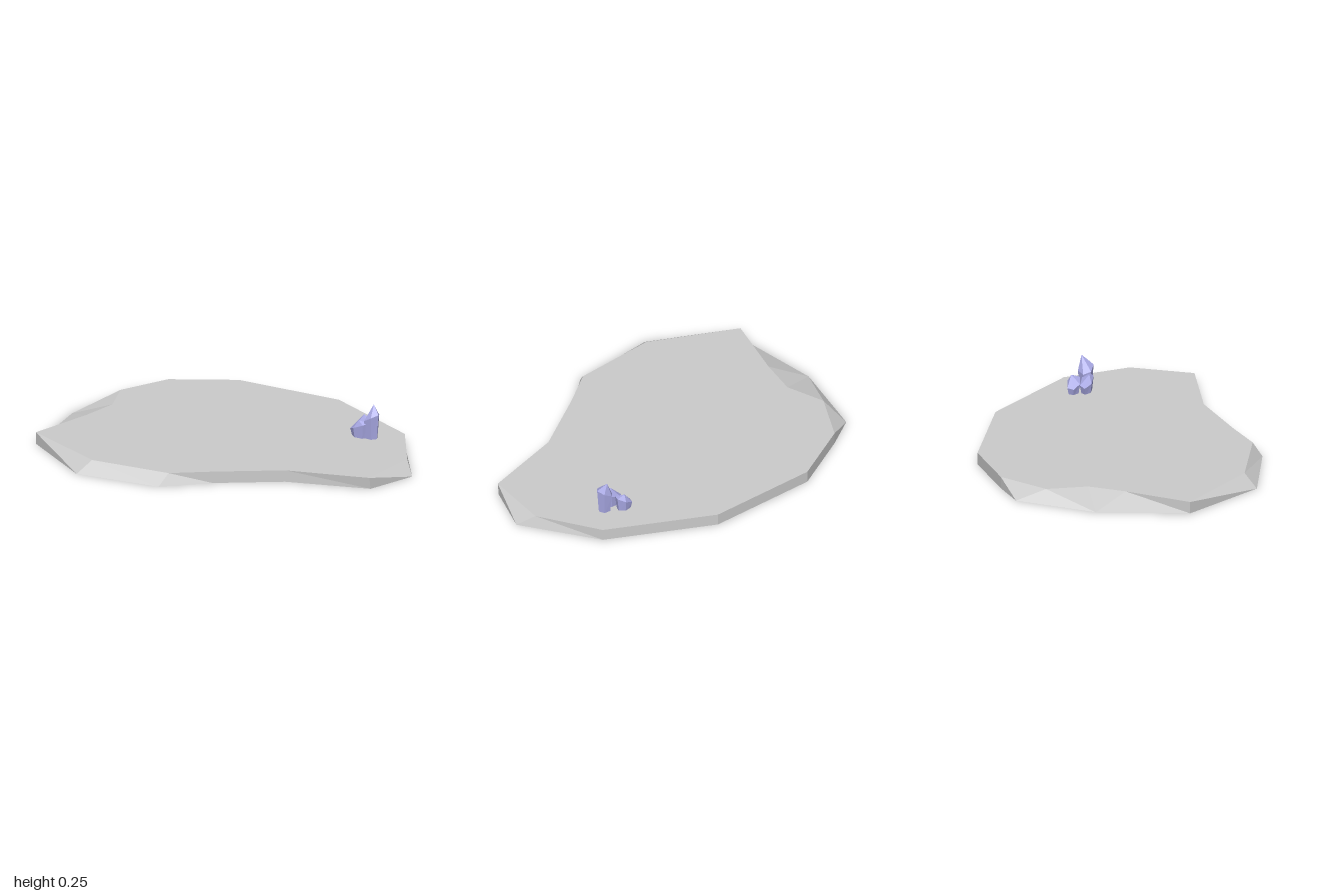
import * as THREE from 'three';

const TOP = 0.064;

// Ground slab outline: [bottom x, bottom z, top x, top z], counter-clockwise from above
const rim = [
  [0.49, -0.81, 0.49, -0.81],
  [0.36, -0.96, 0.21, -0.91],
  [-0.09, -1.0, 0.01, -0.81],
  [-0.092, -1.0, -0.2, -0.82],
  [-0.57, -0.87, -0.57, -0.87],
  [-0.8, -0.42, -0.72, -0.38],
  [-0.69, 0.04, -0.63, 0.06],
  [-0.47, 0.23, -0.47, 0.23],
  [-0.22, 0.52, -0.22, 0.52],
  [-0.03, 0.94, -0.04, 0.94],
  [0.25, 1.0, 0.31, 0.92],
  [0.6, 0.68, 0.6, 0.68],
  [0.795, 0.09, 0.795, 0.09],
  [0.71, -0.51, 0.71, -0.51],
];

function slabGeometry() {
  const n = rim.length;
  const positions = [];
  const bottom = rim.map(([x, z]) => new THREE.Vector3(x, 0, z));
  const top = rim.map(([, , x, z]) => new THREE.Vector3(x, TOP, z));
  const tri = (...corners) => corners.forEach((p) => positions.push(p.x, p.y, p.z));

  // Sloped sides
  for (let i = 0; i < n; i++) {
    const j = (i + 1) % n;
    tri(bottom[i], bottom[j], top[i]);
    tri(bottom[j], top[j], top[i]);
  }

  // Flat caps, each wound to face outward
  const cap = (ring, up) => {
    const flat = ring.map((p) => new THREE.Vector2(p.x, -p.z));
    for (const [a, b, c] of THREE.ShapeUtils.triangulateShape(flat, [])) {
      const ccw = THREE.ShapeUtils.area([flat[a], flat[b], flat[c]]) > 0;
      if (ccw === up) tri(ring[a], ring[b], ring[c]);
      else tri(ring[a], ring[c], ring[b]);
    }
  };
  cap(top, true);
  cap(bottom, false);

  const geometry = new THREE.BufferGeometry();
  geometry.setAttribute('position', new THREE.Float32BufferAttribute(positions, 3));
  geometry.computeVertexNormals();
  return geometry;
}

// Faceted shard: narrow foot, wide shoulder ring and an off-centre tip
function shardGeometry({ x, z, rx, rz, shoulder, tip, turn }) {
  const geometry = new THREE.CylinderGeometry(1, 1, 2, 6, 2, true);
  geometry.rotateY(turn);
  const pos = geometry.attributes.position;
  for (let i = 0; i < pos.count; i++) {
    const px = pos.getX(i);
    const pz = pos.getZ(i);
    const level = Math.round(pos.getY(i));
    if (level === 1) pos.setXYZ(i, ...tip);
    else if (level === 0) {
      // Uneven shoulder, higher towards the front
      pos.setXYZ(i, x + px * rx, shoulder + pz * 0.025, z + pz * rz);
    } else pos.setXYZ(i, x + px * rx * 0.75, TOP - 0.01, z + pz * rz * 0.75);
  }
  geometry.computeVertexNormals();
  return geometry;
}

export function createModel() {
  const model = new THREE.Group();
  model.name = 'crystalGround';

  const stone = new THREE.MeshStandardMaterial({ color: 0xcccccc, flatShading: true });
  const violet = new THREE.MeshStandardMaterial({ color: 0xaaaae6, flatShading: true });

  const slab = new THREE.Mesh(slabGeometry(), stone);
  slab.name = 'groundSlab';
  model.add(slab);

  // Crystal cluster
  const crystals = new THREE.Group();
  crystals.name = 'crystalCluster';
  const shards = [
    { name: 'tallCrystal', x: 0.447, z: 0.577, rx: 0.042, rz: 0.046, shoulder: 0.175, tip: [0.47, 0.245, 0.575], turn: 0 },
    { name: 'rightCrystal', x: 0.485, z: 0.483, rx: 0.037, rz: 0.05, shoulder: 0.12, tip: [0.5, 0.16, 0.487], turn: 0.4 },
    { name: 'leftCrystal', x: 0.423, z: 0.517, rx: 0.034, rz: 0.06, shoulder: 0.125, tip: [0.41, 0.16, 0.52], turn: 0.2 },
  ];
  for (const shard of shards) {
    const mesh = new THREE.Mesh(shardGeometry(shard), violet);
    mesh.name = shard.name;
    crystals.add(mesh);
  }
  model.add(crystals);

  return model;
}
